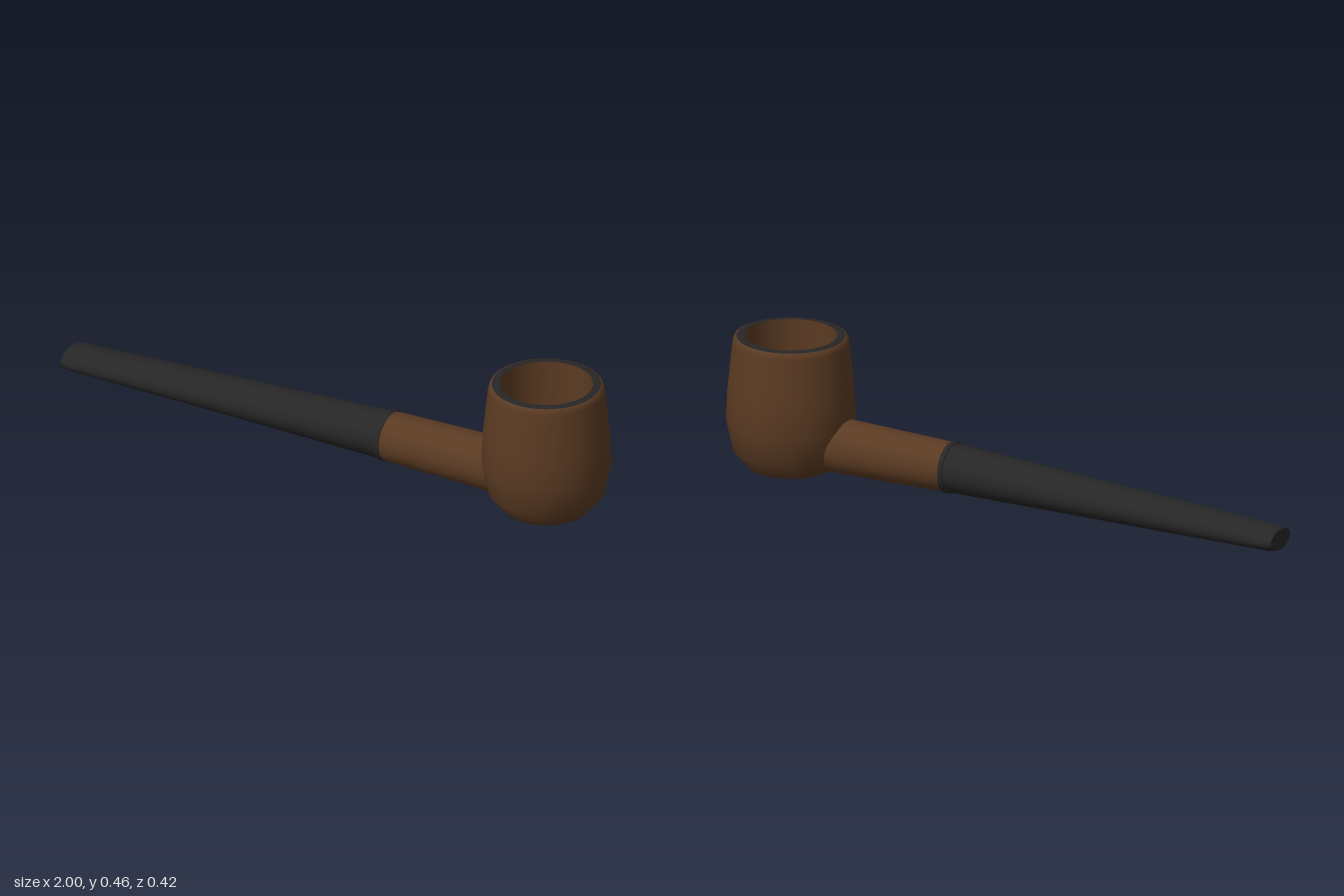
import * as THREE from 'three';

const wood = new THREE.MeshStandardMaterial({ color: 0x5a3a22 });
wood.name = 'briar brown';
const black = new THREE.MeshStandardMaterial({ color: 0x262626 });
black.name = 'ebonite black';

// Capped tube along x through elliptical sections [x, centreY, radiusY, radiusZ]
function loft(sections, sides = 40) {
  const pos = [], index = [];
  const addRing = ([x, cy, ry, rz]) => {
    const first = pos.length / 3;
    for (let i = 0; i < sides; i++) {
      const a = (i / sides) * Math.PI * 2;
      pos.push(x, cy + ry * Math.cos(a), rz * Math.sin(a));
    }
    return first;
  };
  const rings = sections.map(addRing);
  for (let s = 0; s < rings.length - 1; s++) {
    for (let i = 0; i < sides; i++) {
      const j = (i + 1) % sides;
      const a = rings[s] + i, b = rings[s] + j, c = rings[s + 1] + i, d = rings[s + 1] + j;
      index.push(a, b, c, b, d, c);
    }
  }
  // End caps use their own vertices so the edges stay sharp
  [sections[0], sections[sections.length - 1]].forEach((sec, end) => {
    const first = addRing(sec);
    const centre = pos.length / 3;
    pos.push(sec[0], sec[1], 0);
    for (let i = 0; i < sides; i++) {
      const a = first + i, b = first + (i + 1) % sides;
      if (end === 0) index.push(centre, b, a);
      else index.push(centre, a, b);
    }
  });
  const g = new THREE.BufferGeometry();
  g.setAttribute('position', new THREE.Float32BufferAttribute(pos, 3));
  g.setIndex(index);
  g.computeVertexNormals();
  return g;
}

const lathe = (points) =>
  new THREE.LatheGeometry(points.map(([r, y]) => new THREE.Vector2(r, y)), 48);

export function createModel() {
  const model = new THREE.Group();
  model.name = 'smokingPipe';
  const add = (name, geometry, material, parent = model) => {
    const mesh = new THREE.Mesh(geometry, material);
    mesh.name = name;
    parent.add(mesh);
  };

  // Bowl: outer wall, dark rim and hollow chamber
  const bowl = new THREE.Group();
  bowl.name = 'bowl';
  bowl.position.x = 0.79;
  model.add(bowl);
  add('bowlWall', lathe([
    [0, 0], [0.075, 0.003], [0.14, 0.02], [0.188, 0.078], [0.209, 0.18],
    [0.204, 0.28], [0.188, 0.44], [0.182, 0.456], [0.175, 0.459],
  ]), wood, bowl);
  add('bowlRim', lathe([[0.175, 0.459], [0.168, 0.461], [0.15, 0.461]]), black, bowl);
  add('bowlChamber', lathe([
    [0.15, 0.461], [0.15, 0.2], [0.14, 0.12], [0.1, 0.08], [0, 0.07],
  ]), wood, bowl);

  // Shank running into the bowl
  add('shank', loft([[0.2, 0.11, 0.081, 0.083], [0.71, 0.117, 0.092, 0.093]]), wood);

  // Collar between shank and stem
  add('collar', loft([[0.193, 0.11, 0.084, 0.087], [0.209, 0.11, 0.084, 0.087]]), black);

  // Tapered stem flattening to the mouthpiece
  add('stem', loft([
    [-1, 0.072, 0.034, 0.065], [-0.98, 0.072, 0.037, 0.073],
    [-0.9, 0.075, 0.041, 0.074], [0.2, 0.11, 0.08, 0.081],
  ]), black);

  return model;
}
